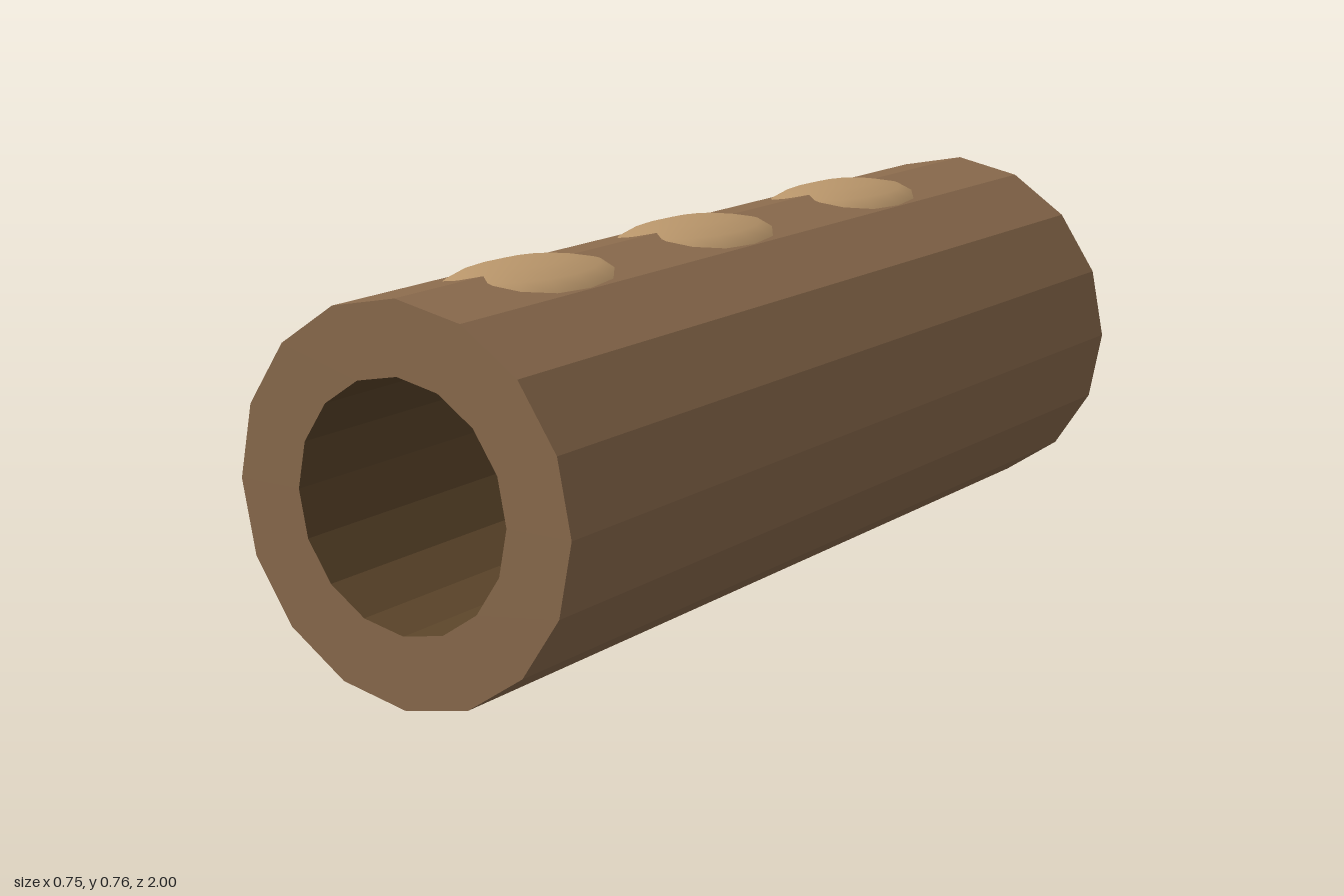
import * as THREE from 'three';

const SIDES = 16, OUTER = 0.373, BORE = 0.235, CENTRE_Y = 0.375;

export function createModel() {
  const bark = new THREE.MeshStandardMaterial({ color: 0x8b6b4d, flatShading: true });
  bark.name = 'bark brown';
  const hollow = new THREE.MeshStandardMaterial({ color: 0x5c452a, flatShading: true });
  hollow.name = 'hollow dark brown';
  const tan = new THREE.MeshStandardMaterial({ color: 0xb8956a });
  tan.name = 'patch tan';

  const model = new THREE.Group();
  model.name = 'hollowLog';

  const add = (name, geometry, material, x, y, z) => {
    const mesh = new THREE.Mesh(geometry, material);
    mesh.name = name;
    mesh.position.set(x, y, z);
    model.add(mesh);
    return mesh;
  };
  // Turned profile of [radius, position along z]
  const turned = (profile) => new THREE.LatheGeometry(
    profile.map(([r, z]) => new THREE.Vector2(r, z)), SIDES).rotateX(Math.PI / 2);

  // Outer shell with its two ring-shaped ends
  add('shell', turned([[BORE, -1], [OUTER, -1], [OUTER, 1], [BORE, 1]]), bark, 0, CENTRE_Y, 0);

  // Inward-facing wall of the bore
  add('boreWall', turned([[BORE, 1], [BORE, -1]]), hollow, 0, CENTRE_Y, 0);

  // Plug near the back end, slightly narrower than the bore
  const plug = new THREE.CylinderGeometry(0.225, 0.225, 0.03, SIDES).rotateX(Math.PI / 2);
  add('plug', plug, hollow, 0, CENTRE_Y, -0.875);

  // Flattened domes half sunk into the top ridge
  const dome = new THREE.SphereGeometry(1, 16, 8).scale(0.15, 0.061, 0.24);
  [-0.48, 0.08, 0.62].forEach((z, i) => add(`topPatch${i + 1}`, dome, tan, 0, 0.699, z));

  return model;
}
